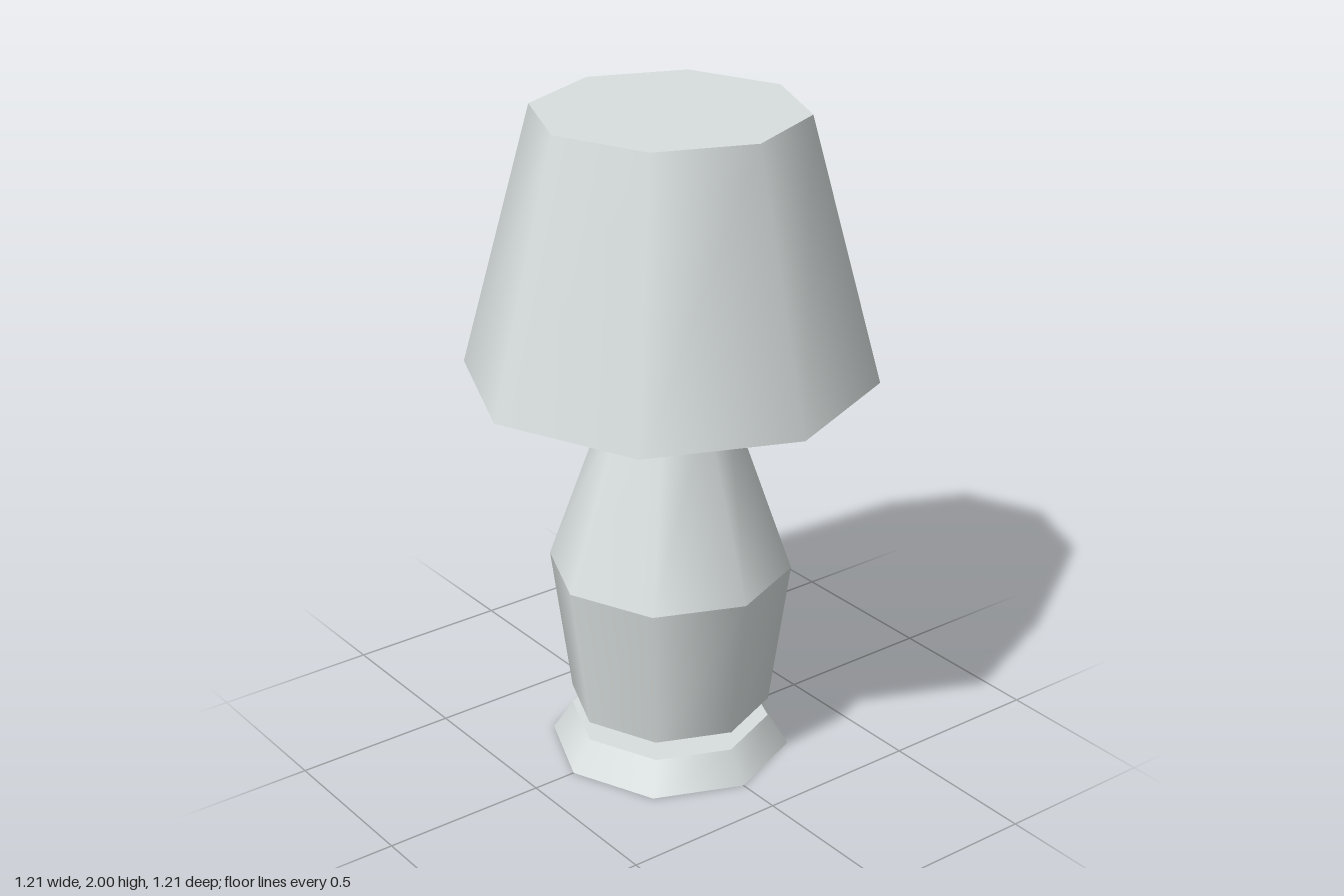
import * as THREE from 'three';

const SIDES = 8;

export function createModel() {
  const lamp = new THREE.Group();
  lamp.name = 'tableLamp';

  const paleGrey = new THREE.MeshStandardMaterial({ color: 0xd8dfde });
  paleGrey.name = 'paleGrey';

  // Eight-sided tapered section between two heights
  function section(name, bottomRadius, bottomY, topRadius, topY, open = false) {
    const height = topY - bottomY;
    const geometry = new THREE.CylinderGeometry(topRadius, bottomRadius, height, SIDES, 1, open);
    const mesh = new THREE.Mesh(geometry, paleGrey);
    mesh.name = name;
    mesh.position.y = bottomY + height / 2;
    lamp.add(mesh);
  }

  // Foot, with the pointed body resting on its centre
  section('foot', 0.363, 0, 0.302, 0.095);
  section('bodyPoint', 0, 0.095, 0.302, 0.155, true);

  // Body: flaring lower half, tapering upper half
  section('lowerBody', 0.302, 0.155, 0.363, 0.607, true);
  section('upperBody', 0.363, 0.607, 0.17, 1.155, true);

  // Collar and closed shade
  section('collar', 0.181, 1.155, 0.181, 1.22);
  section('shade', 0.605, 1.217, 0.395, 2);

  return lamp;
}
